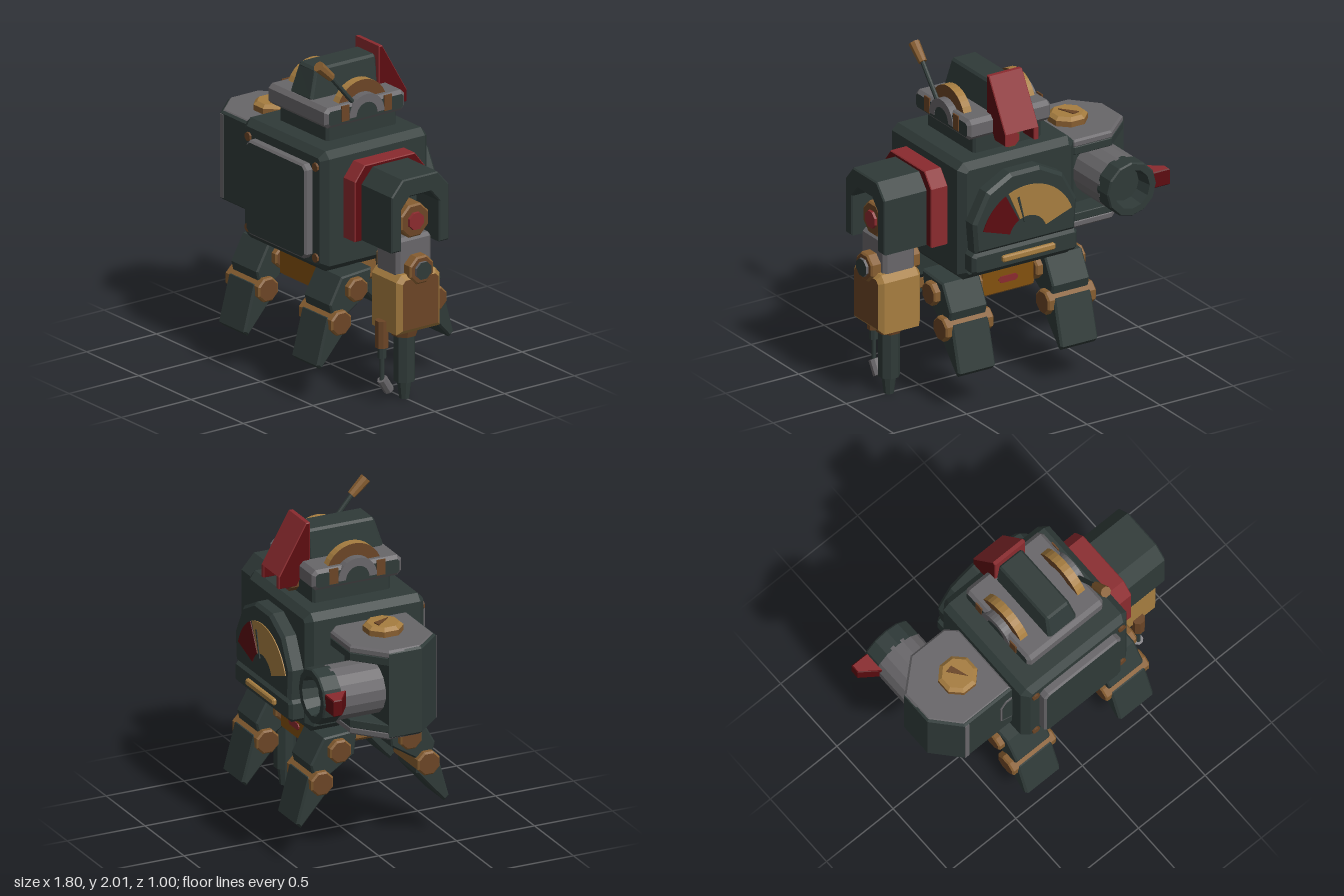
import * as THREE from 'three';

export function createModel() {
  const root = new THREE.Group();
  root.name = 'walkingRobot';
  const mat = (name, color) => {
    const m = new THREE.MeshStandardMaterial({ color });
    m.name = name;
    return m;
  };
  const dark = mat('darkGreen', 0x2f3a38), gray = mat('gray', 0x686669);
  const gold = mat('gold', 0xa67d40), copper = mat('copper', 0x6b4526);
  const bronze = mat('bronze', 0x865d30), amber = mat('amber', 0x82500e);
  const red = mat('red', 0x8a2a2e), darkRed = mat('darkRed', 0x5c0c10);

  const add = (name, geo, material, x = 0, y = 0, z = 0, parent = root) => {
    const m = new THREE.Mesh(geo, material);
    m.name = name;
    m.position.set(x, y, z);
    parent.add(m);
    return m;
  };
  const flat = (g) => {
    const f = g.index ? g.toNonIndexed() : g;
    f.computeVertexNormals();
    return f;
  };
  // Bevelled slab from an outline, centred on its own z (group 0 caps, group 1 sides)
  const slab = (pts, depth, b = 0.015) => {
    const shape = pts instanceof THREE.Shape ? pts : new THREE.Shape(pts.map((p) => new THREE.Vector2(...p)));
    const g = new THREE.ExtrudeGeometry(shape, {
      depth: depth - 2 * b, bevelEnabled: b > 0, bevelSize: b, bevelOffset: -b,
      bevelThickness: b, bevelSegments: 1, curveSegments: 8,
    });
    return g.translate(0, 0, -depth / 2 + b);
  };
  // Outline given as [z, y], extruded along x
  const sideSlab = (pts, width, b) => slab(pts.map(([z, y]) => [-z, y]), width, b).rotateY(Math.PI / 2);
  // Outline given as [x, z], extruded along y
  const topSlab = (pts, height, b) => slab(pts.map(([x, z]) => [x, -z]), height, b).rotateX(-Math.PI / 2);
  const rect = (w, h, c) => {
    const a = w / 2, b = h / 2;
    return [[-a + c, -b], [a - c, -b], [a, -b + c], [a, b - c], [a - c, b], [-a + c, b], [-a, b - c], [-a, -b + c]];
  };
  const box = (w, h, d, c = 0.02) => slab(rect(w, h, c), d, c);
  const disc = (r, h, axis = 'y', r2 = r, n = 8) => {
    const g = flat(new THREE.CylinderGeometry(r2, r, h, n).rotateY(Math.PI / n));
    if (axis === 'x') g.rotateZ(-Math.PI / 2);
    if (axis === 'z') g.rotateX(Math.PI / 2);
    return g;
  };
  // Chamfered octagonal joint along x
  const joint = (r, width) => sideSlab(
    Array.from({ length: 8 }, (_, i) => [r * Math.cos((i + 0.5) * Math.PI / 4), r * Math.sin((i + 0.5) * Math.PI / 4)]), width, 0.01);
  const jointMats = [copper, bronze];
  const rod = (name, a, b, r1, r2, material, n = 8) => {
    const p = new THREE.Vector3(...a), q = new THREE.Vector3(...b), d = q.clone().sub(p);
    const m = add(name, disc(r1, d.length(), 'y', r2, n), material, ...p.clone().add(q).multiplyScalar(0.5).toArray());
    m.quaternion.setFromUnitVectors(new THREE.Vector3(0, 1, 0), d.normalize());
    return m;
  };
  const CX = 0.06;

  // Body with front panel and rivets
  add('body', box(0.795, 0.732, 0.765, 0.04), dark, CX, 1.13, 0.007);
  add('frontPanel', slab(rect(0.575, 0.575, 0.03), 0.07, 0.012), [dark, gray], CX, 1.117, 0.405);
  for (const x of [-0.26, 0.385]) for (const y of [0.845, 1.4])
    add('rivet', disc(0.027, 0.02, 'z'), copper, x, y, 0.393);

  // Belly with front and back plates
  add('belly', box(0.39, 0.19, 0.52, 0.02), bronze, CX, 0.66, 0.007);
  for (const s of [-1, 1]) add('bellyPlate', new THREE.BoxGeometry(0.35, 0.15, 0.008), amber, CX, 0.66, 0.007 + s * 0.263);
  add('bellyUnderside', new THREE.BoxGeometry(0.33, 0.008, 0.46), amber, CX, 0.564, 0.007);
  add('bellyLamp', slab(rect(0.13, 0.04, 0.015), 0.008, 0), red, CX, 0.66, -0.263);

  // Four legs, mirrored front to back
  for (const s of [1, -1]) for (const lx of [-0.288, 0.413]) {
    const leg = new THREE.Group();
    leg.name = 'leg';
    root.add(leg);
    const pts = (a) => a.map(([z, y]) => [s * z + 0.007, y]);
    add('upperLeg', sideSlab(pts([[0.1, 0.77], [0.315, 0.755], [0.4, 0.6], [0.385, 0.54], [0.29, 0.51], [0.12, 0.62]]), 0.255, 0.01), dark, lx, 0, 0, leg);
    add('lowerLeg', sideSlab(pts([[0.375, 0.53], [0.415, 0.525], [0.49, 0.25], [0.46, 0.222], [0.28, 0.425], [0.285, 0.5]]), 0.255, 0.012), dark, lx, 0, 0, leg);
    add('hipJoint', joint(0.074, 0.34), jointMats, lx, 0.67, s * 0.226 + 0.007, leg);
    add('kneeJoint', joint(0.077, 0.33), jointMats, lx, 0.49, s * 0.342 + 0.007, leg);
  }

  // Head: neck, plate, central block
  add('neck', box(0.465, 0.14, 0.5, 0.015), dark, CX, 1.54, -0.008);
  add('headPlate', sideSlab(rect(0.575, 0.125, 0.025), 0.57, 0.02), [dark, gray], CX, 1.652, 0.003);
  const block = box(0.21, 0.19, 0.48, 0.015);
  const bp = block.attributes.position;
  for (let i = 0; i < bp.count; i++) if (bp.getY(i) > 0) {
    bp.setX(i, bp.getX(i) * 0.82);
    if (bp.getZ(i) > 0) bp.setZ(i, bp.getZ(i) - 0.045);
  }
  block.computeVertexNormals();
  add('headBlock', block, dark, CX, 1.795, 0.02);

  // Ear arches on both sides of the head
  const arch = (r, inner, depth) => {
    const s = new THREE.Shape();
    s.absarc(0, 0, r, 0, Math.PI, false);
    if (inner) s.absarc(0, 0, inner, Math.PI, 0, true);
    return slab(s, depth, 0).rotateY(Math.PI / 2);
  };
  for (const s of [-1, 1]) {
    add('earArch', arch(0.18, 0.1, 0.055), [copper, gold], CX + s * 0.215, 1.645);
    add('earHub', arch(0.125, 0.075, 0.07), gray, CX + s * 0.256, 1.627);
    add('earCore', arch(0.078, 0, 0.06), dark, CX + s * 0.256, 1.627);
    for (const z of [-0.152, 0.152]) add('earFoot', new THREE.BoxGeometry(0.008, 0.095, 0.055), copper, CX + s * 0.286, 1.665, z);
  }

  // Antenna
  rod('antennaRod', [0.322, 1.715, 0.085], [0.322, 1.91, 0.25], 0.014, 0.014, dark);
  rod('antennaTip', [0.322, 1.895, 0.235], [0.322, 1.983, 0.328], 0.026, 0.034, bronze);

  // Hollow rear hood with two cheeks, and the lens beneath it
  add('rearHood', sideSlab([[-0.215, 1.945], [-0.24, 1.945], [-0.415, 1.64], [-0.385, 1.625], [-0.215, 1.86]], 0.225, 0.008), [darkRed, red], 0.064);
  for (const s of [-1, 1])
    add('hoodCheek', sideSlab([[-0.215, 1.945], [-0.24, 1.945], [-0.415, 1.64], [-0.415, 1.565], [-0.3, 1.565], [-0.215, 1.72]], 0.035, 0.005), [darkRed, red], 0.064 + s * 0.097);
  add('rearLensRing', disc(0.058, 0.08, 'z'), copper, 0.064, 1.555, -0.265);
  add('rearLens', disc(0.045, 0.02, 'z'), red, 0.064, 1.555, -0.308);

  // Rear gauge with dial
  const half = [[0.34, 0.96], [0.355, 1.15], [0.26, 1.33], [0.1, 1.415]];
  add('gaugeHousing', slab([...half, ...half.map(([x, y]) => [-x, y]).reverse()], 0.11, 0.02), dark, CX + 0.01, 0, -0.41);
  const sector = (r0, r1, a0, a1) => {
    const s = new THREE.Shape();
    s.absarc(0, 0, r1, a0 * Math.PI / 180, a1 * Math.PI / 180, false);
    s.absarc(0, 0, r0, a1 * Math.PI / 180, a0 * Math.PI / 180, true);
    return slab(s, 0.008, 0);
  };
  add('dialScale', sector(0.13, 0.32, 66, 160), gold, CX, 1.0, -0.467);
  add('dialWarning', sector(0.13, 0.32, 18, 62), darkRed, CX, 1.0, -0.467);
  add('dialNeedle', sector(0.1, 0.27, 74, 77), dark, CX, 1.0, -0.472);
  add('rearLedge', box(0.72, 0.135, 0.11, 0.02), dark, CX + 0.01, 0.897, -0.41);
  add('ledgeStrip', box(0.36, 0.04, 0.03, 0.008), gold, CX, 0.9, -0.475);

  // Right arm pod: solid front, covers over the barrel, axle caps
  add('armPod', topSlab([[-0.835, -0.1], [-0.335, -0.14], [-0.335, 0.272], [-0.69, 0.272], [-0.835, 0.11]], 0.54, 0.012), dark, 0, 1.135, 0);
  const podOutline = [[-0.83, -0.1], [-0.65, -0.26], [-0.4, -0.26], [-0.335, -0.2], [-0.335, 0.262], [-0.688, 0.262], [-0.828, 0.105]];
  for (const s of [-1, 1]) {
    add('podCover', topSlab(podOutline, 0.05, 0.012), gray, 0, 1.135 + s * 0.251, 0);
    add('podRim', topSlab(podOutline, 0.05, 0.004), dark, 0, 1.135 + s * 0.208, 0);
  }
  add('podEdge', new THREE.BoxGeometry(0.03, 0.51, 0.008), gray, -0.675, 1.135, 0.272);
  add('podLatchFrame', slab([[-0.34, 0.97], [-0.34, 1.28], [-0.385, 1.28], [-0.425, 1.22], [-0.425, 1.03]], 0.012, 0), gray, 0, 0, 0.272);
  add('podLatch', slab([[-0.34, 0.99], [-0.34, 1.26], [-0.38, 1.26], [-0.413, 1.213], [-0.413, 1.035]], 0.008, 0), dark, 0, 0, 0.277);
  for (const s of [-1, 1]) {
    const cap = new THREE.Group();
    cap.name = 'axleCap';
    cap.position.set(-0.527, 1.135 + s * 0.275, 0.015);
    if (s < 0) cap.rotation.x = Math.PI;
    root.add(cap);
    add('capBase', disc(0.118, 0.04), bronze, 0, 0.015, 0, cap);
    add('capBevel', disc(0.118, 0.02, 'y', 0.095), gold, 0, 0.045, 0, cap);
    add('capMark', topSlab([[-0.045, -0.05], [0.0, -0.06], [0.035, 0.05]], 0.008, 0), copper, 0, 0.057, 0, cap);
  }

  // Rear-facing cannon and its sight fin
  add('barrel', disc(0.165, 0.4, 'z', 0.165, 16), gray, -0.635, 1.135, -0.2);
  const muzzle = new THREE.LatheGeometry(
    [[0.168, 0], [0.168, 0.105], [0.16, 0.115], [0.12, 0.115], [0.105, 0.02], [0, 0.02]].map((p) => new THREE.Vector2(...p)), 12);
  add('muzzle', flat(muzzle.rotateX(-Math.PI / 2)), dark, -0.635, 1.135, -0.385);
  add('barrelFin', topSlab([[-0.9, -0.49], [-0.77, -0.49], [-0.77, -0.34], [-0.9, -0.435]], 0.1, 0.006), [red, darkRed], 0, 1.15, 0);

  // Left shoulder: collar, hollow hood, lens
  add('shoulderCollar', sideSlab([[0.255, 0.965], [0.255, 1.33], [0.185, 1.42], [-0.175, 1.42], [-0.245, 1.33], [-0.245, 0.965]], 0.115, 0.005), [darkRed, red], 0.52);
  add('shoulderHood', sideSlab([[0.21, 0.97], [0.21, 1.31], [0.13, 1.402], [-0.12, 1.402], [-0.2, 1.31], [-0.2, 0.97],
    [-0.13, 0.97], [-0.13, 1.22], [-0.07, 1.29], [0.08, 1.29], [0.14, 1.22], [0.14, 0.97]], 0.3, 0.008), dark, 0.72);
  add('hoodBack', new THREE.BoxGeometry(0.1, 0.34, 0.29), dark, 0.6, 1.14, 0.005);
  add('lensRing', joint(0.107, 0.2), jointMats, 0.72, 1.115, 0.005);
  add('lens', disc(0.058, 0.02, 'x', 0.054), red, 0.825, 1.115, 0.005);

  // Left elbow and forearm
  add('armLink', box(0.215, 0.24, 0.25, 0.02), gray, 0.708, 0.9, 0.004);
  add('elbow', joint(0.09, 0.34), jointMats, 0.71, 0.83, 0);
  add('elbowPin', disc(0.056, 0.37, 'x'), [gray, dark, dark], 0.712, 0.83, 0);
  add('forearm', sideSlab([[0.155, 0.45], [0.155, 0.77], [0.12, 0.81], [-0.12, 0.81], [-0.155, 0.77], [-0.155, 0.45]], 0.29, 0.028), [copper, gold], 0.72);

  // Drill and the small nozzle in front of it
  rod('drillCollar', [0.707, 0.39, 0], [0.707, 0.46, 0], 0.075, 0.095, copper);
  rod('drillShaft', [0.707, 0.11, 0], [0.707, 0.4, 0], 0.065, 0.065, dark);
  rod('drillTip', [0.707, 0, 0], [0.707, 0.112, 0], 0.03, 0.045, dark);
  rod('nozzleHolder', [0.707, 0.345, 0.16], [0.707, 0.51, 0.16], 0.04, 0.04, copper);
  rod('nozzleSleeve', [0.707, 0.28, 0.16], [0.707, 0.35, 0.16], 0.026, 0.026, dark);
  rod('nozzleRod', [0.707, 0.14, 0.16], [0.707, 0.285, 0.16], 0.014, 0.014, dark);
  rod('nozzle', [0.707, 0.15, 0.16], [0.707, 0.07, 0.11], 0.032, 0.032, gray);

  return root;
}
